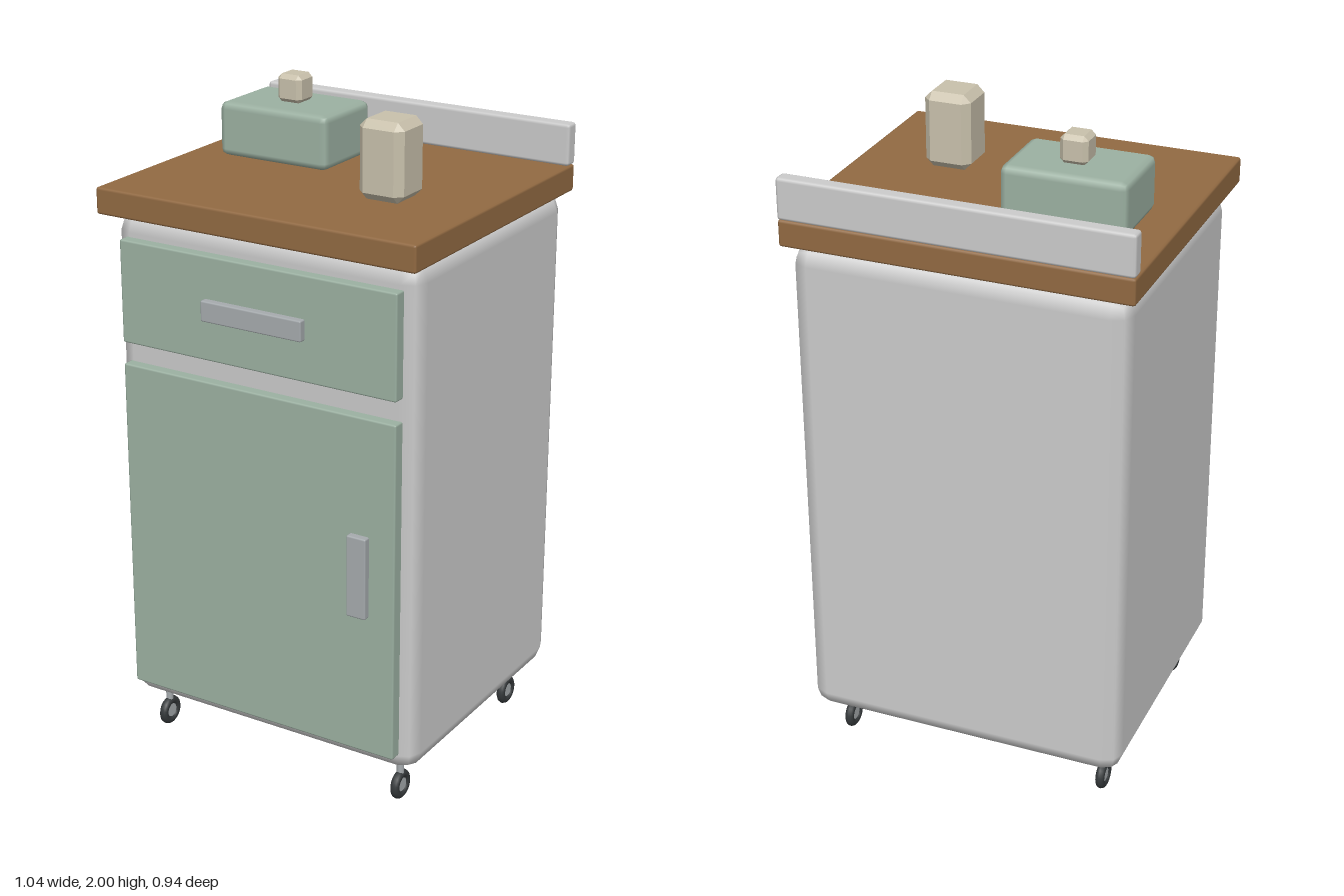
import * as THREE from 'three';
import { RoundedBoxGeometry } from 'three/addons/geometries/RoundedBoxGeometry.js';
import { ConvexGeometry } from 'three/addons/geometries/ConvexGeometry.js';

const mat = (color) => new THREE.MeshStandardMaterial({ color });
const grey = mat(0xcccccc);
const green = mat(0x9cb1a2);
const wood = mat(0x926a42);
const steel = mat(0xa6abae);
const beige = mat(0xc9c1ac);
const rubber = mat(0x35393b);

// Spans are [min, max] pairs on each axis.
const size = (s) => s[1] - s[0];
const mid = (s) => (s[0] + s[1]) / 2;

function add(parent, name, geometry, material, x, y, z) {
  const mesh = new THREE.Mesh(geometry, material);
  mesh.name = name;
  mesh.position.set(x, y, z);
  parent.add(mesh);
  return mesh;
}

function roundedBox(parent, name, material, xs, ys, zs, radius) {
  const geometry = new RoundedBoxGeometry(size(xs), size(ys), size(zs), 1, radius);
  return add(parent, name, geometry, material, mid(xs), mid(ys), mid(zs));
}

// Faceted box with every edge and corner cut flat.
function chamferedBox(parent, name, material, xs, ys, zs, cut) {
  const half = [size(xs) / 2, size(ys) / 2, size(zs) / 2];
  const points = [];
  for (const sx of [-1, 1]) for (const sy of [-1, 1]) for (const sz of [-1, 1]) {
    for (let axis = 0; axis < 3; axis++) {
      const [x, y, z] = half.map((h, i) => (i === axis ? h : h - cut));
      points.push(new THREE.Vector3(sx * x, sy * y, sz * z));
    }
  }
  return add(parent, name, new ConvexGeometry(points), material, mid(xs), mid(ys), mid(zs));
}

function caster(x, z) {
  const group = new THREE.Group();
  group.name = 'caster';
  add(group, 'casterStem', new THREE.CylinderGeometry(0.011, 0.011, 0.08, 12), steel, 0, 0.11, 0);
  const tyre = new THREE.TorusGeometry(0.032, 0.0135, 10, 24);
  tyre.rotateY(Math.PI / 2);
  add(group, 'casterTyre', tyre, rubber, 0, 0.0455, 0);
  const hub = new THREE.CylinderGeometry(0.024, 0.024, 0.016, 16);
  hub.rotateZ(Math.PI / 2);
  add(group, 'casterHub', hub, steel, 0, 0.0455, 0);
  group.position.set(x, 0, z);
  return group;
}

export function createModel() {
  const model = new THREE.Group();
  model.name = 'rollingCabinet';

  // Cabinet body, worktop and rear upstand
  roundedBox(model, 'cabinetBody', grey, [-0.5, 0.5], [0.135, 1.675], [-0.455, 0.415], 0.055);
  roundedBox(model, 'worktop', wood, [-0.52, 0.52], [1.675, 1.755], [-0.465, 0.465], 0.008);
  roundedBox(model, 'backUpstand', grey, [-0.52, 0.52], [1.755, 1.88], [-0.468, -0.42], 0.01);

  // Drawer and door fronts with bar handles
  roundedBox(model, 'drawerFront', green, [-0.457, 0.455], [1.297, 1.607], [0.405, 0.447], 0.006);
  roundedBox(model, 'doorFront', green, [-0.457, 0.455], [0.193, 1.232], [0.405, 0.447], 0.006);
  roundedBox(model, 'drawerHandle', steel, [-0.167, 0.165], [1.42, 1.482], [0.44, 0.468], 0.005);
  roundedBox(model, 'doorHandle', steel, [0.31, 0.373], [0.63, 0.88], [0.44, 0.468], 0.005);

  // Casters at the four corners
  for (const x of [-0.417, 0.417]) for (const z of [-0.333, 0.333]) model.add(caster(x, z));

  // Lidded box and jar standing on the worktop
  roundedBox(model, 'countertopBox', green, [-0.415, -0.045], [1.755, 1.918], [-0.248, 0.003], 0.022);
  chamferedBox(model, 'boxKnob', beige, [-0.271, -0.189], [1.916, 2], [-0.168, -0.086], 0.013);
  chamferedBox(model, 'jar', beige, [0.167, 0.309], [1.755, 1.982], [0.042, 0.185], 0.022);

  return model;
}
